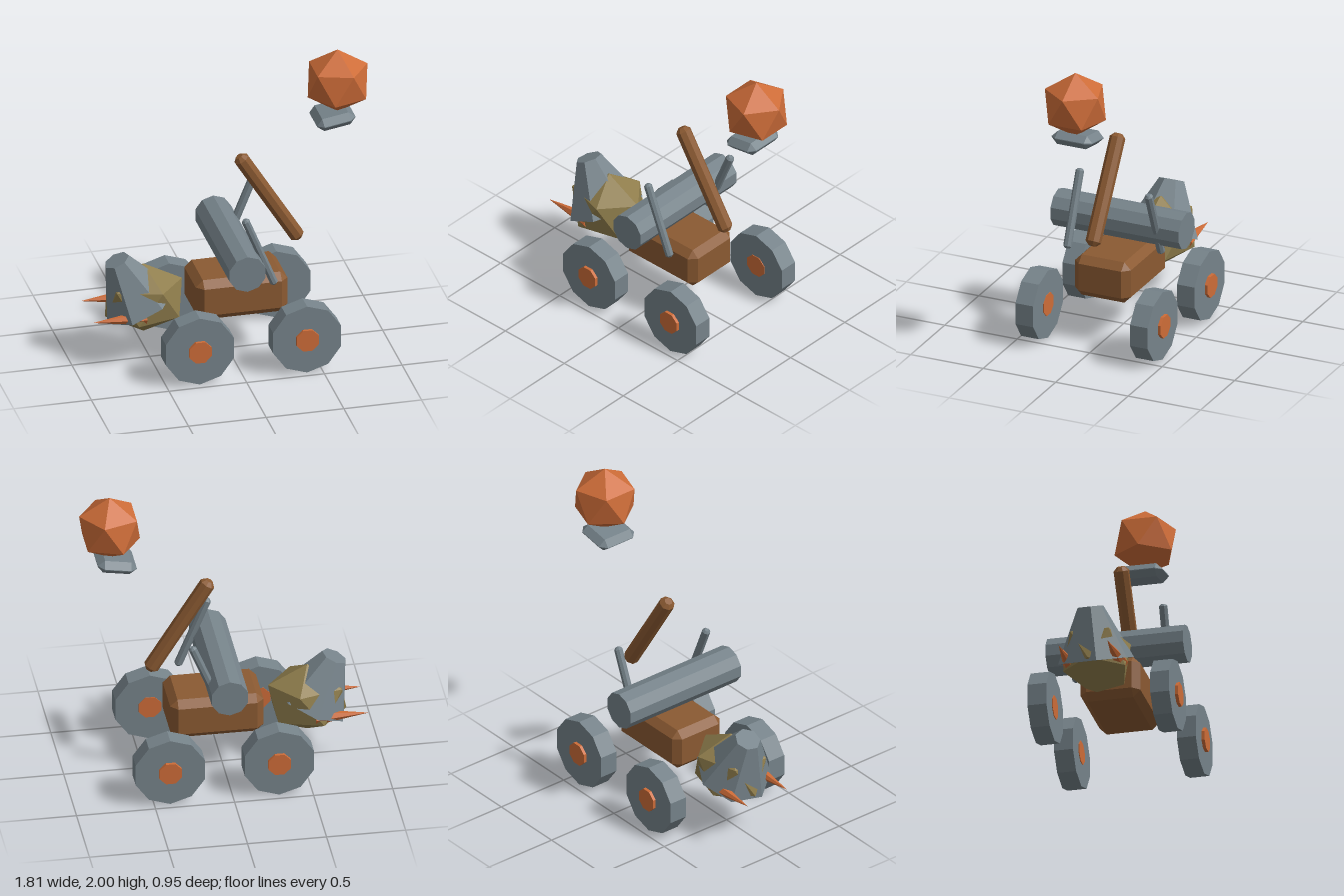
import * as THREE from 'three';
import { ConvexGeometry } from 'three/addons/geometries/ConvexGeometry.js';

const mat = (color) => new THREE.MeshStandardMaterial({ color, flatShading: true, side: THREE.DoubleSide });

export function createModel() {
  const model = new THREE.Group();
  const steel = mat(0x76838a), wood = mat(0x8b5a32), copper = mat(0xcd6c38), olive = mat(0x8f7d4c);

  const add = (name, geometry, material, x, y, z, tilt = 0) => {
    const mesh = new THREE.Mesh(geometry, material);
    mesh.name = name;
    mesh.position.set(x, y, z);
    mesh.rotation.z = tilt;
    model.add(mesh);
    return mesh;
  };

  // Box with chamfered edges
  const chamferBox = (w, h, d, c) => {
    const points = [];
    for (const sx of [-1, 1]) for (const sy of [-1, 1]) for (const sz of [-1, 1]) {
      const x = w / 2, y = h / 2, z = d / 2;
      points.push(
        new THREE.Vector3(sx * x, sy * (y - c), sz * (z - c)),
        new THREE.Vector3(sx * (x - c), sy * y, sz * (z - c)),
        new THREE.Vector3(sx * (x - c), sy * (y - c), sz * z));
    }
    return new ConvexGeometry(points);
  };

  // Eight-sided rod with bevelled ends, between two points in the xy plane
  const rod = (name, material, r, x1, y1, x2, y2, z) => {
    const h = Math.hypot(x2 - x1, y2 - y1) / 2, c = r * 0.5;
    const profile = [[0, -h], [r - c, -h], [r, c - h], [r, h - c], [r - c, h], [0, h]];
    const geometry = new THREE.LatheGeometry(profile.map(([a, b]) => new THREE.Vector2(a, b)), 8);
    geometry.rotateY(Math.PI / 8);
    add(name, geometry, material, (x1 + x2) / 2, (y1 + y2) / 2, z, Math.atan2(y2 - y1, x2 - x1) - Math.PI / 2);
  };

  // Prism lying along z
  const zPrism = (r, length, sides, turn = 0) =>
    new THREE.CylinderGeometry(r, r, length, sides).rotateY(turn).rotateX(Math.PI / 2);

  // Icosahedron standing on one corner
  const pointedBall = (r) => new THREE.IcosahedronGeometry(r).rotateZ(-Math.atan(2 / (1 + Math.sqrt(5))));

  // Chassis and cross drum
  add('body', chamferBox(0.59, 0.275, 0.385, 0.046), wood, 0.055, 0.432, 0);
  add('drum', zPrism(0.121, 0.885, 10), steel, 0.02, 0.727, 0);

  // Wheels and hubs
  for (const x of [-0.29, 0.4]) for (const side of [-1, 1]) {
    add('wheel', zPrism(0.23, 0.122, 10), steel, x, 0.233, side * 0.395);
    add('hub', zPrism(0.077, 0.147, 8, Math.PI / 8), copper, x, 0.233, side * 0.403);
  }

  // Crossed side struts and throwing arm
  rod('leftStrut', steel, 0.027, 0.043, 1.028, 0.235, 0.558, 0.28);
  rod('rightStrut', steel, 0.027, 0.043, 0.558, 0.235, 1.028, -0.28);
  rod('throwingArm', wood, 0.05, 0.077, 1.332, 0.46, 0.718, 0);

  // Cup and projectile
  add('cup', chamferBox(0.25, 0.085, 0.28, 0.04), steel, 0.677, 1.548, 0, 0.165);
  add('projectile', pointedBall(0.215), copper, 0.71, 1.785, 0);

  // Head, helmet and tusks
  add('head', pointedBall(0.235), olive, -0.54, 0.423, 0).scale.x = 1.18;
  const helmet = new THREE.CylinderGeometry(0.083, 0.245, 0.34, 7).rotateY(Math.PI);
  add('helmet', helmet, steel, -0.64, 0.546, 0, 0.436);
  for (const side of [-1, 1]) {
    add('tusk', new THREE.ConeGeometry(0.05, 0.34, 6), copper, -0.735, 0.362, side * 0.157, Math.PI / 2);
  }

  return model;
}
